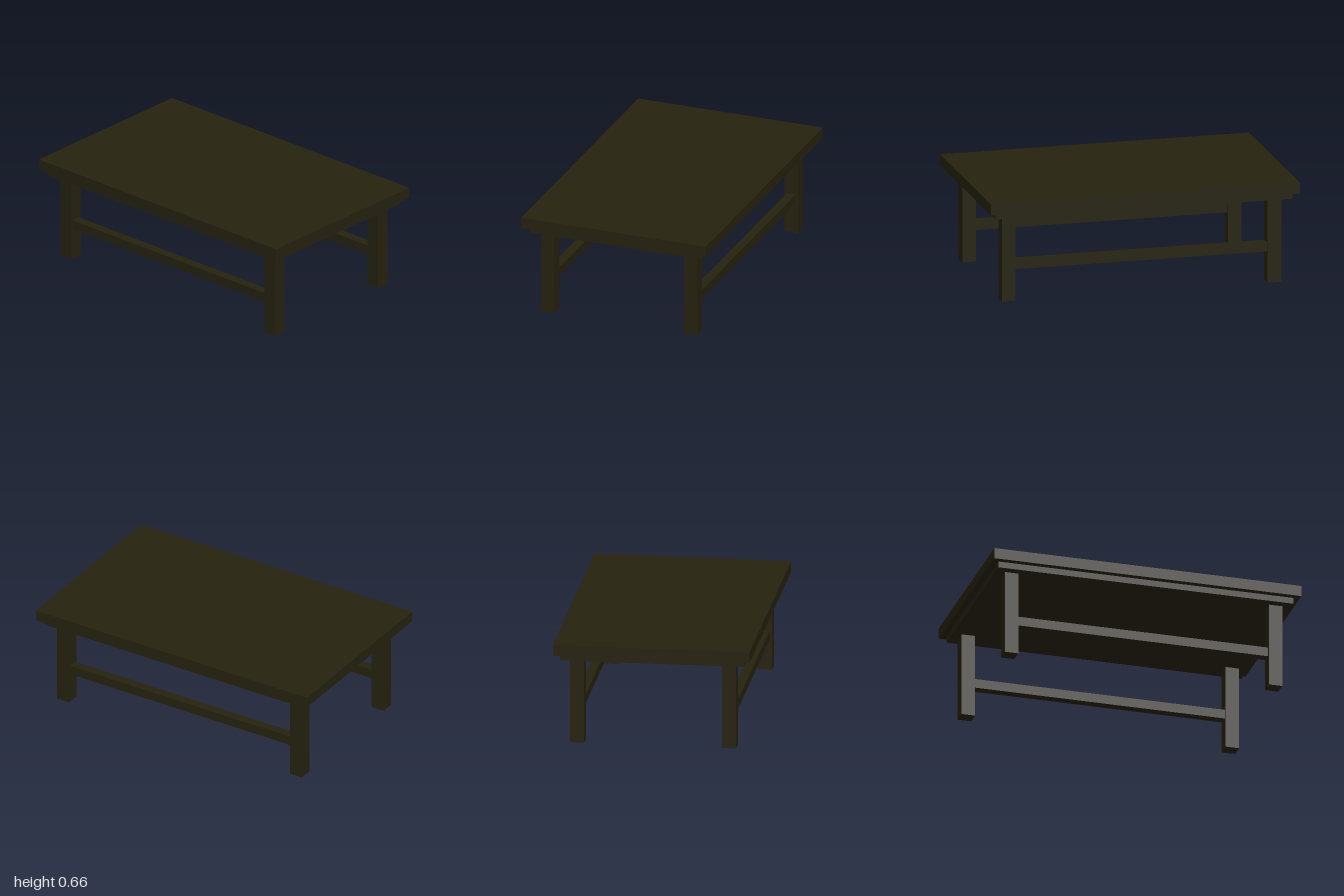
import * as THREE from 'three';

export function createModel() {
  const table = new THREE.Group();
  table.name = 'lowTable';
  const darkWood = new THREE.MeshStandardMaterial({ color: 0x25220f });
  darkWood.name = 'darkWood';

  // Box given by its size, centre x/z and bottom height
  function addBox(name, w, h, d, x, y, z) {
    const mesh = new THREE.Mesh(new THREE.BoxGeometry(w, h, d), darkWood);
    mesh.name = name;
    mesh.position.set(x, y + h / 2, z);
    table.add(mesh);
  }

  // Slab top and the inset panel beneath it
  addBox('tableTop', 2, 0.07, 1.24, 0, 0.59, 0);
  addBox('underPanel', 1.92, 0.04, 1.16, 0, 0.55, 0);

  for (const [zName, zSide] of [['front', 1], ['back', -1]]) {
    // Square legs
    for (const [xName, xSide] of [['Left', 1], ['Right', -1]]) {
      addBox(`${zName}${xName}Leg`, 0.088, 0.55, 0.088, xSide * 0.86, 0, zSide * 0.48);
    }
    // Long rail between the two legs
    addBox(`${zName}Stretcher`, 1.64, 0.06, 0.06, 0, 0.2, zSide * 0.48);
  }

  return table;
}
